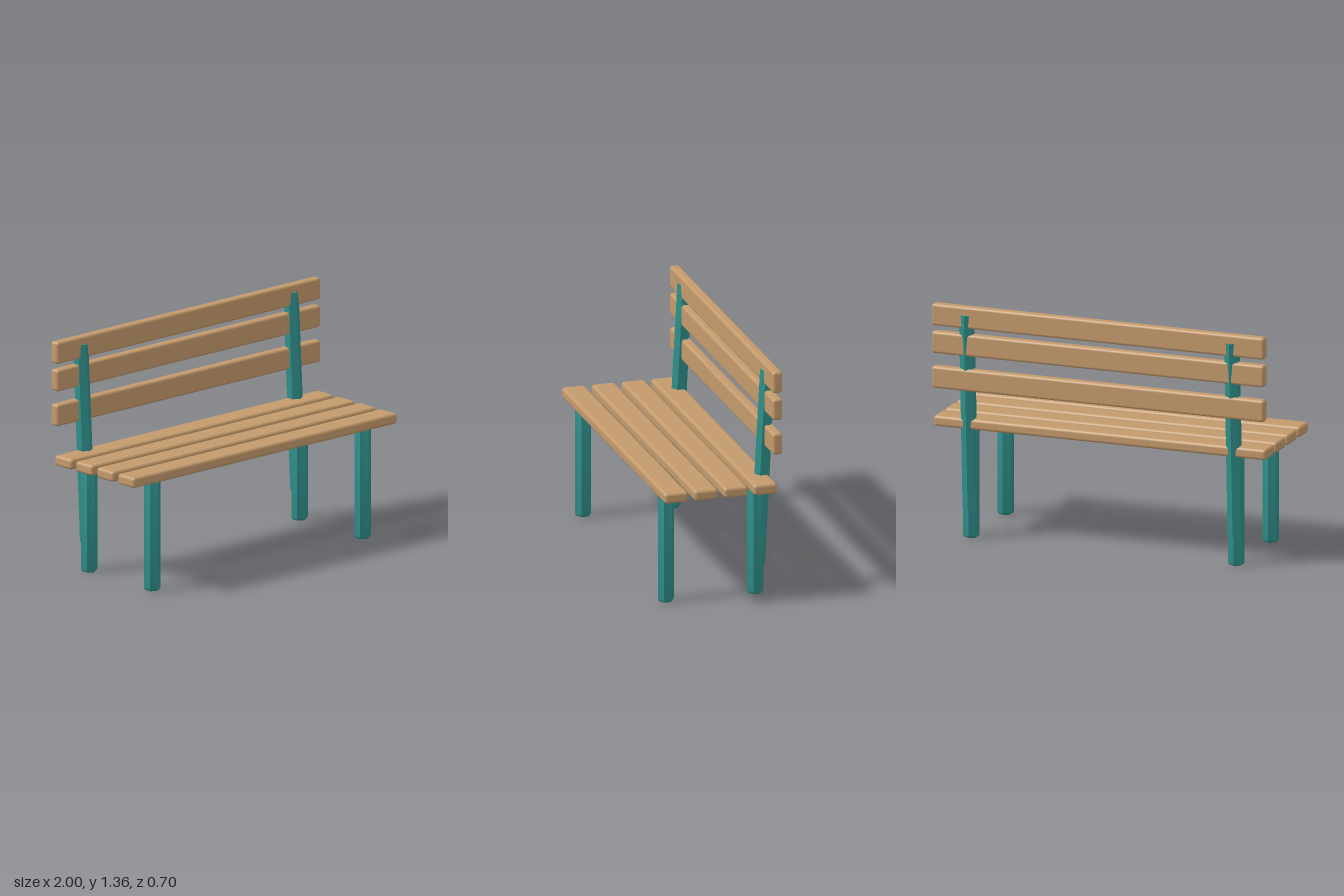
import * as THREE from 'three';
import { toCreasedNormals } from 'three/addons/utils/BufferGeometryUtils.js';
import { RoundedBoxGeometry } from 'three/addons/geometries/RoundedBoxGeometry.js';

const wood = new THREE.MeshStandardMaterial({ color: 0xc49a6c });
const paint = new THREE.MeshStandardMaterial({ color: 0x2f8f8a });
const paintFlat = new THREE.MeshStandardMaterial({ color: 0x2f8f8a, flatShading: true });

// Six-sided leg with rounded rims, standing on y = 0
function legGeometry(radius, height, bevel) {
  const points = [new THREE.Vector2(0, 0)];
  for (let i = 0; i <= 3; i++) {
    const a = (i / 3) * Math.PI / 2;
    points.push(new THREE.Vector2(radius - bevel + bevel * Math.sin(a), bevel - bevel * Math.cos(a)));
  }
  const upper = points.map((p) => new THREE.Vector2(p.x, height - p.y)).reverse();
  return toCreasedNormals(new THREE.LatheGeometry([...points, ...upper], 6), 0.8);
}

export function createModel() {
  const bench = new THREE.Group();
  bench.name = 'bench';

  const add = (name, geometry, material, x, y, z) => {
    const mesh = new THREE.Mesh(geometry, material);
    mesh.name = name;
    mesh.position.set(x, y, z);
    bench.add(mesh);
    return mesh;
  };

  // Seat slats, front to back
  const seatSlat = new RoundedBoxGeometry(2, 0.062, 0.138, 3, 0.018);
  [0.283, 0.108, -0.066, -0.238].forEach((z, i) => add(`seatSlat${i + 1}`, seatSlat, wood, 0, 0.669, z));

  // Backrest slats, bottom to top
  const backSlat = new RoundedBoxGeometry(2, 0.126, 0.058, 3, 0.016);
  [0.93, 1.132, 1.292].forEach((y, i) => add(`backSlat${i + 1}`, backSlat, wood, 0, y, -0.309));

  // Legs and leaning back posts on both sides
  const leg = legGeometry(0.0468, 0.642, 0.018);
  const low = new THREE.Vector2(-0.2495, 0.172);
  const high = new THREE.Vector2(-0.309, 1.307);
  const post = new THREE.CylinderGeometry(0.0435, 0.0455, low.distanceTo(high), 6);
  for (const [side, x] of [['left', 0.797], ['right', -0.797]]) {
    add(`${side}FrontLeg`, leg, paint, x, 0, 0.284);
    add(`${side}RearLeg`, leg, paint, x, 0, -0.238);
    const backPost = add(`${side}BackPost`, post, paintFlat, x, (low.y + high.y) / 2, (low.x + high.x) / 2);
    backPost.rotation.x = Math.atan2(high.x - low.x, high.y - low.y);
  }

  return bench;
}
